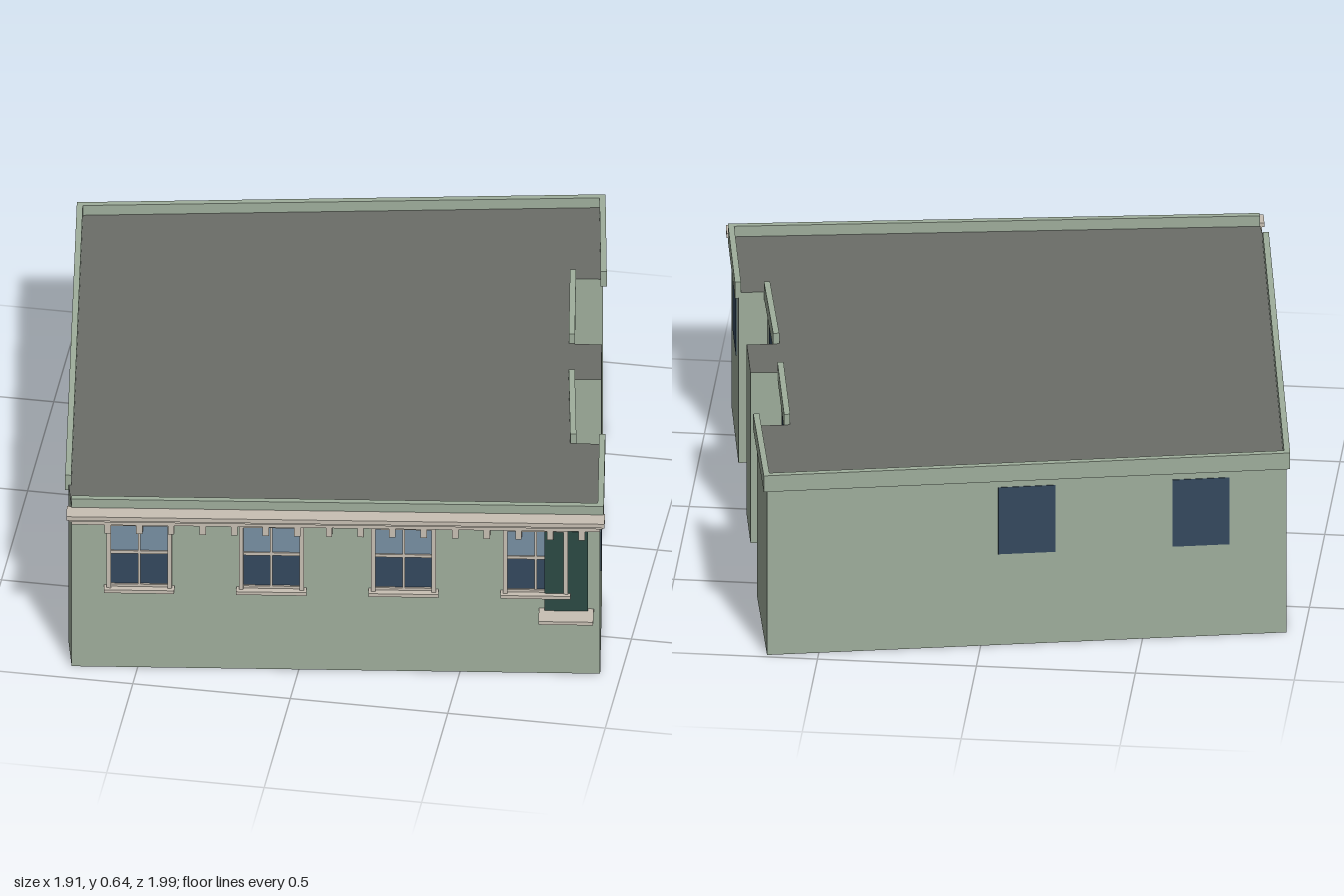
import * as THREE from 'three';

const mat = (color) => new THREE.MeshStandardMaterial({ color });

export function createModel() {
  const model = new THREE.Group();
  model.name = 'building';
  const wallMat = mat(0x9fae9c), roofMat = mat(0x6b6d68), glass = mat(0x34495e);
  const paleGlass = mat(0x7890a3), trim = mat(0xc8c0b4), green = mat(0x2c4a44);

  // Footprint corners [x, z], counter-clockwise from above, from the front left
  const plan = [
    [-0.705, 0.935], [0.935, 0.705], [0.875, 0.312], [0.785, 0.325], [0.722, -0.025],
    [0.815, -0.04], [0.785, -0.23], [0.69, -0.22], [0.635, -0.573], [0.73, -0.588],
    [0.66, -0.987], [-0.945, -0.677], [-0.735, 0.81],
  ];
  const outline = new THREE.Shape(plan.map(([x, z]) => new THREE.Vector2(x, -z)));
  const body = new THREE.ExtrudeGeometry(outline, { depth: 0.6, bevelEnabled: false });
  body.rotateX(-Math.PI / 2);
  const walls = new THREE.Mesh(body, [roofMat, wallMat]);
  walls.name = 'wallsAndRoof';
  model.add(walls);

  // A group on one wall: x runs along the wall, z points outwards
  function side(name, i) {
    const [ax, az] = plan[i], [bx, bz] = plan[(i + 1) % plan.length];
    const g = new THREE.Group();
    g.name = name;
    g.position.set(ax, 0, az);
    g.rotation.y = Math.atan2(az - bz, bx - ax);
    g.userData.length = Math.hypot(bx - ax, bz - az);
    model.add(g);
    return g;
  }

  // A box given by its limits
  function box(parent, name, x0, x1, y0, y1, z0, z1, material) {
    const m = new THREE.Mesh(new THREE.BoxGeometry(x1 - x0, y1 - y0, z1 - z0), material);
    m.position.set((x0 + x1) / 2, (y0 + y1) / 2, (z0 + z1) / 2);
    m.name = name;
    parent.add(m);
  }

  // Plain walls with a parapet and flat windows, placed by fraction of the length
  const plainWalls = [
    ['rightFrontWall', 1, [0.485]], ['rightMiddleWall', 3, [0.48]],
    ['rightRearWall', 7, [0.48]], ['rightBackWall', 9, []],
    ['backWall', 10, [0.5, 0.835]], ['leftWall', 11, [0.12, 0.46, 0.82]],
  ];
  for (const [name, i, windows] of plainWalls) {
    const g = side(name, i), len = g.userData.length;
    const over = i >= 9 ? 0.01 : 0;
    box(g, 'parapet', -over, len + (i === 11 ? 0 : over), 0.58, 0.637, -0.008, 0.011, wallMat);
    for (const t of windows) {
      box(g, 'window', t * len - 0.09, t * len + 0.09, 0.32, 0.555, -0.01, 0.002, glass);
    }
  }

  // Front wall: parapet and stepped cornice
  const front = side('frontWall', 0), len = front.userData.length;
  box(front, 'parapet', 0, len + 0.01, 0.6, 0.637, -0.016, 0.003, wallMat);
  box(front, 'corniceTop', -0.015, len + 0.015, 0.59, 0.605, -0.003, 0.055, trim);
  box(front, 'corniceMiddle', -0.008, len + 0.008, 0.577, 0.59, -0.003, 0.042, trim);
  box(front, 'corniceBottom', 0, len, 0.557, 0.57, -0.003, 0.028, trim);
  box(front, 'corniceBack', 0, len, 0.555, 0.58, -0.003, 0.012, trim);
  const along = (x) => (x + 0.705) / Math.cos(front.rotation.y);

  // Brackets under the cornice
  for (let i = 1; i <= 16; i++) {
    const x = along(-0.69 + 0.098 * i);
    box(front, 'bracket', x - 0.01, x + 0.01, 0.523, 0.558, 0, 0.026, trim);
  }

  // Sash windows
  for (let i = 0; i < 4; i++) {
    const w = new THREE.Group();
    w.name = 'sashWindow';
    w.position.x = along(-0.495 + 0.41 * i);
    front.add(w);
    box(w, 'upperGlass', -0.093, 0.093, 0.44, 0.555, -0.01, 0.004, paleGlass);
    box(w, 'lowerGlass', -0.093, 0.093, 0.31, 0.44, -0.01, 0.003, glass);
    box(w, 'mullion', -0.004, 0.004, 0.315, 0.555, 0, 0.008, trim);
    box(w, 'meetingRail', -0.09, 0.09, 0.436, 0.447, 0, 0.008, trim);
    box(w, 'bottomRail', -0.09, 0.09, 0.312, 0.321, 0, 0.009, trim);
    box(w, 'headRail', -0.1, 0.1, 0.547, 0.557, 0, 0.018, trim);
    for (const s of [-1, 1]) {
      box(w, 'frameSide', s * 0.095 - 0.007, s * 0.095 + 0.007, 0.31, 0.557, 0, 0.018, trim);
    }
    box(w, 'sill', -0.11, 0.11, 0.3, 0.312, 0, 0.03, trim);
  }

  // Green panel at the right end with its ledge
  box(front, 'greenPanel', along(0.763), along(0.897), 0.245, 0.547, 0, 0.014, green);
  box(front, 'ledge', along(0.745), along(0.915), 0.234, 0.246, 0, 0.075, trim);
  return model;
}
